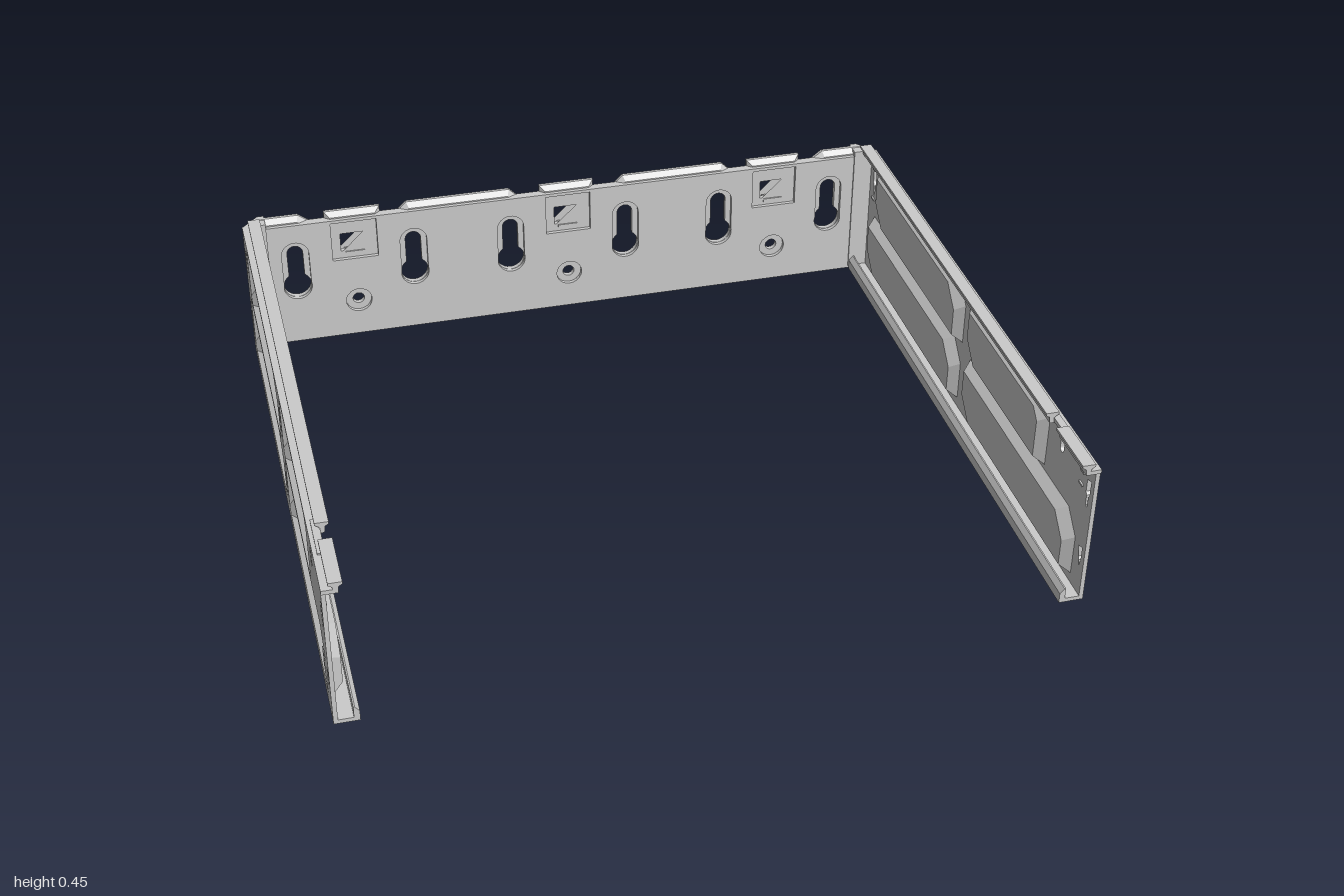
import * as THREE from 'three';

const mat = new THREE.MeshStandardMaterial({ color: 0xcccccc, flatShading: true, side: THREE.DoubleSide });

function add(group, geo, name) {
  const m = new THREE.Mesh(geo, mat);
  m.name = name;
  group.add(m);
  return m;
}

const poly = (pts) => new THREE.Shape(pts.map(([x, y]) => new THREE.Vector2(x, y)));
const rect = (x0, x1, y0, y1) => poly([[x0, y0], [x1, y0], [x1, y1], [x0, y1]]);

function circle(x, y, r) {
  const s = new THREE.Shape();
  s.absarc(x, y, r, 0, Math.PI * 2);
  return s;
}

// Rounded upright slot between two arc centres
function stadium(x, y0, y1, r) {
  const s = new THREE.Shape();
  s.absarc(x, y1, r, 0, Math.PI);
  s.absarc(x, y0, r, Math.PI, Math.PI * 2);
  s.closePath();
  return s;
}

// Narrow slot rising from a round opening
function keyhole(x, y0, y1, w, r) {
  const a = Math.acos(w / r);
  const s = new THREE.Shape();
  s.absarc(x, y1, w, 0, Math.PI);
  s.absarc(x, y0, r, Math.PI - a, Math.PI * 2 + a);
  s.closePath();
  return s;
}

function plate(shape, holes, depth, bevel = 0, bevelSize = 0) {
  shape.holes.push(...holes);
  return new THREE.ExtrudeGeometry(shape, {
    depth, curveSegments: 10, bevelEnabled: bevel > 0, bevelThickness: bevel,
    bevelSize, bevelOffset: -bevelSize, bevelSegments: 1,
  });
}

// Six-sided outline with the upper front and lower rear corners cut
const outline = (a, b, y0, y1, top, low) => [
  [a, y0], [b - low, y0], [b, y0 + low], [b, y1], [a + top, y1], [a, y1 - top],
];

// Pressed pan: sloped walls joining an outer outline to a deeper floor
function panGeometry(outer, inner, xOuter, xInner) {
  const pos = [], idx = [], n = outer.length;
  outer.forEach(([u, y]) => pos.push(xOuter, y, -u));
  inner.forEach(([u, y]) => pos.push(xInner, y, -u));
  for (let i = 0; i < n; i++) {
    const j = (i + 1) % n;
    idx.push(i, j, n + j, i, n + j, n + i);
    if (i > 0 && i < n - 1) idx.push(n, n + i, n + i + 1);
  }
  const g = new THREE.BufferGeometry();
  g.setAttribute('position', new THREE.Float32BufferAttribute(pos, 3));
  g.setIndex(idx);
  g.computeVertexNormals();
  return g;
}

// Constant section in x and y, running along z
function rail(group, pts, z0, z1, name) {
  add(group, plate(poly(pts), [], z1 - z0), name).position.z = z0;
}

function sideArm() {
  const g = new THREE.Group();
  // Pans given along the arm, front to rear: start, end, bottom, top, corner cut
  const pans = [
    [-0.61, -0.06, 0.235, 0.42, 0.03],
    [0.01, 0.74, 0.235, 0.42, 0.06],
    [-0.84, -0.06, 0.04, 0.22, 0.06],
    [0.01, 0.79, 0.04, 0.22, 0.06],
  ];
  const holes = [];
  for (const [a, b, y0, y1, cut] of pans) {
    const outer = outline(a, b, y0, y1, cut, 0.02);
    const inner = outline(a + 0.022, b - 0.022, y0 + 0.018, y1 - 0.022, cut, 0.06);
    holes.push(poly(outer));
    add(g, panGeometry(outer, inner, 1, 0.97), 'pressedPanelOutside');
    add(g, panGeometry(outer, inner, 0.988, 0.96), 'pressedPanelInside');
  }
  // Hanging slots: wide above, narrow below
  for (const u of [-0.875, -0.034, 0.81]) {
    for (const y of [0.29, 0.075]) {
      holes.push(poly([
        [u - 0.005, y], [u + 0.005, y], [u + 0.005, y + 0.032], [u + 0.011, y + 0.04],
        [u + 0.011, y + 0.078], [u - 0.011, y + 0.085], [u - 0.011, y + 0.04], [u - 0.005, y + 0.032],
      ]));
    }
  }
  holes.push(stadium(-0.7, 0.352, 0.39, 0.011), stadium(-0.79, 0.09, 0.145, 0.011));
  const wall = plate(rect(-0.905, 0.85, 0, 0.43), holes, 0.012);
  wall.rotateY(Math.PI / 2).translate(0.988, 0, 0);
  add(g, wall, 'sideWall');

  // Small ribs beside the end slots
  for (const [z, y] of [[0.835, 0.375], [0.835, 0.335], [-0.81, 0.38], [-0.81, 0.275]]) {
    add(g, new THREE.BoxGeometry(0.006, 0.006, 0.022), 'stopRib').position.set(0.986, y, z);
  }

  // Top rail in two lengths with a gap
  const top = [
    [1, 0.418], [1, 0.43], [0.97, 0.43], [0.972, 0.437], [0.982, 0.443], [0.982, 0.45],
    [0.946, 0.45], [0.946, 0.443], [0.956, 0.437], [0.958, 0.418],
  ];
  rail(g, top, -0.85, 0.67, 'topRail');
  rail(g, top, 0.735, 0.91, 'frontTopRail');
  add(g, new THREE.BoxGeometry(0.02, 0.012, 0.14), 'latch').position.set(0.979, 0.428, 0.7);

  // Bottom flange with an upturned lip
  rail(g, [
    [1, 0], [1, 0.012], [0.948, 0.012], [0.948, 0.045], [0.944, 0.045],
    [0.932, 0.03], [0.932, 0],
  ], -0.85, 0.905, 'bottomFlange');

  // Chamfered rear corner
  const corner = plate(poly([[0.93, 0.905], [0.95, 0.905], [1, 0.85], [0.93, 0.85]]), [], 0.42);
  corner.rotateX(-Math.PI / 2).translate(0, 0.008, 0);
  add(g, corner, 'rearCorner');
  return g;
}

function backPanel() {
  const g = new THREE.Group();
  const keys = [-0.85, -0.487, -0.183, 0.183, 0.487, 0.85];
  const clips = [-0.667, 0, 0.667];

  // Front skin carries the wider recesses, rear skin the through openings
  const front = [], rear = [];
  for (const x of keys) {
    front.push(keyhole(x, 0.195, 0.308, 0.0415, 0.043));
    rear.push(keyhole(x, 0.195, 0.308, 0.024, 0.042));
  }
  for (const x of clips) {
    front.push(rect(x - 0.07, x + 0.07, 0.27, 0.4), circle(x, 0.12, 0.04));
    rear.push(rect(x - 0.042, x + 0.042, 0.295, 0.355), circle(x, 0.12, 0.018));
  }
  add(g, plate(rect(-0.95, 0.95, 0, 0.41), front, 0.012), 'backPanelFront').position.z = -0.867;
  add(g, plate(rect(-0.95, 0.95, 0, 0.41), rear, 0.016), 'backPanelRear').position.z = -0.883;

  // Raised ribs on the rear
  const rib = (shape, holes, name) => {
    add(g, plate(shape, holes, 0.01, 0.014, 0.016), name).position.z = -0.891;
  };
  for (const x of clips) {
    rib(rect(x - 0.085, x + 0.085, 0.012, 0.43), [
      rect(x - 0.045, x + 0.045, 0.28, 0.37),
      rect(x - 0.045, x + 0.045, 0.185, 0.255),
      circle(x, 0.12, 0.04),
    ], 'clipColumn');
    add(g, new THREE.BoxGeometry(0.06, 0.012, 0.03), 'clipHook').position.set(x, 0.286, -0.878);
  }
  for (const s of [-1, 1]) {
    // Wide rib, waisted around its two keyholes
    rib(poly([
      [0.15, 0.012], [0.53, 0.012], [0.53, 0.08], [0.42, 0.12], [0.42, 0.37], [0.53, 0.37],
      [0.53, 0.4], [0.5, 0.43], [0.18, 0.43], [0.15, 0.4], [0.15, 0.37], [0.25, 0.37],
      [0.25, 0.12], [0.15, 0.08],
    ].map(([x, y]) => [s * x, y])), [], 'wideRib');
    // End rib, open around the outer keyhole
    rib(poly([
      [0.79, 0.012], [0.96, 0.012], [0.96, 0.43], [0.83, 0.43], [0.79, 0.4],
      [0.79, 0.37], [0.91, 0.37], [0.91, 0.12], [0.79, 0.08],
    ].map(([x, y]) => [s * x, y])), [], 'endRib');
  }
  // Bottom edge strip
  add(g, new THREE.BoxGeometry(1.9, 0.014, 0.045), 'bottomStrip').position.set(0, 0.007, -0.8785);
  return g;
}

export function createModel() {
  const model = new THREE.Group();
  model.name = 'mountingBracket';
  const back = backPanel();
  back.name = 'backPanel';
  const left = sideArm();
  left.name = 'leftArm';
  const right = sideArm();
  right.name = 'rightArm';
  right.scale.x = -1;
  model.add(back, left, right);
  return model;
}
